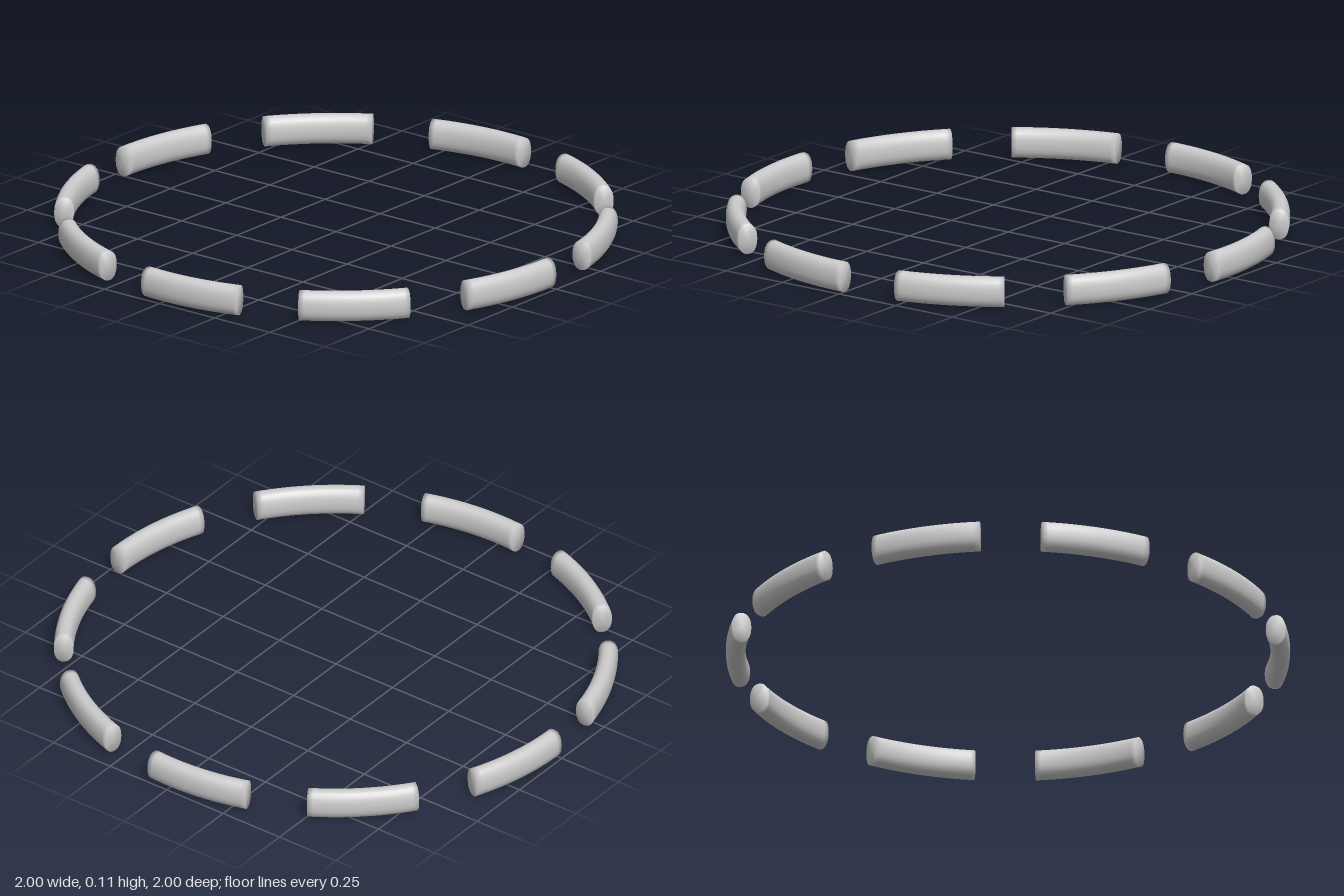
import * as THREE from 'three';

const SEGMENTS = 10;
const ARC = THREE.MathUtils.degToRad(23.05); // sweep of one bar
const RADIUS = 0.965;                        // centre line of the ring
const HALF_W = 0.035, HALF_H = 0.055;        // oval cross-section
const STEPS = 20, SIDES = 24;

// One curved bar with an oval section and closed ends, smoothly shaded throughout
function curvedBar() {
  const pos = [], idx = [];
  const soft = v => Math.sign(v) * Math.abs(v) ** (2 / 2.3);
  const put = (r, y, a) => pos.push(r * Math.cos(a), y, r * Math.sin(a));
  for (let i = 0; i <= STEPS; i++) {
    for (let j = 0; j < SIDES; j++) {
      const t = (j / SIDES) * Math.PI * 2;
      put(RADIUS + HALF_W * soft(Math.cos(t)), HALF_H + HALF_H * soft(Math.sin(t)), (i / STEPS) * ARC);
    }
  }
  const start = pos.length / 3;
  put(RADIUS, HALF_H, 0);
  put(RADIUS, HALF_H, ARC);
  for (let j = 0; j < SIDES; j++) {
    const k = (j + 1) % SIDES;
    for (let i = 0; i < STEPS; i++) {
      const a = i * SIDES, b = a + SIDES;
      idx.push(a + j, a + k, b + j, a + k, b + k, b + j);
    }
    // End caps
    const last = STEPS * SIDES;
    idx.push(start, k, j, start + 1, last + j, last + k);
  }
  const geo = new THREE.BufferGeometry();
  geo.setAttribute('position', new THREE.Float32BufferAttribute(pos, 3));
  geo.setIndex(idx);
  geo.computeVertexNormals();
  return geo;
}

export function createModel() {
  const group = new THREE.Group();
  group.name = 'dashedRing';
  const grey = new THREE.MeshStandardMaterial({ color: 0xcccccc });
  grey.name = 'light grey';
  const bar = curvedBar();
  // Evenly spaced bars around the ring
  for (let k = 0; k < SEGMENTS; k++) {
    const mesh = new THREE.Mesh(bar, grey);
    mesh.name = `ringSegment${k + 1}`;
    mesh.rotation.y = -(k / SEGMENTS) * Math.PI * 2;
    group.add(mesh);
  }
  return group;
}
